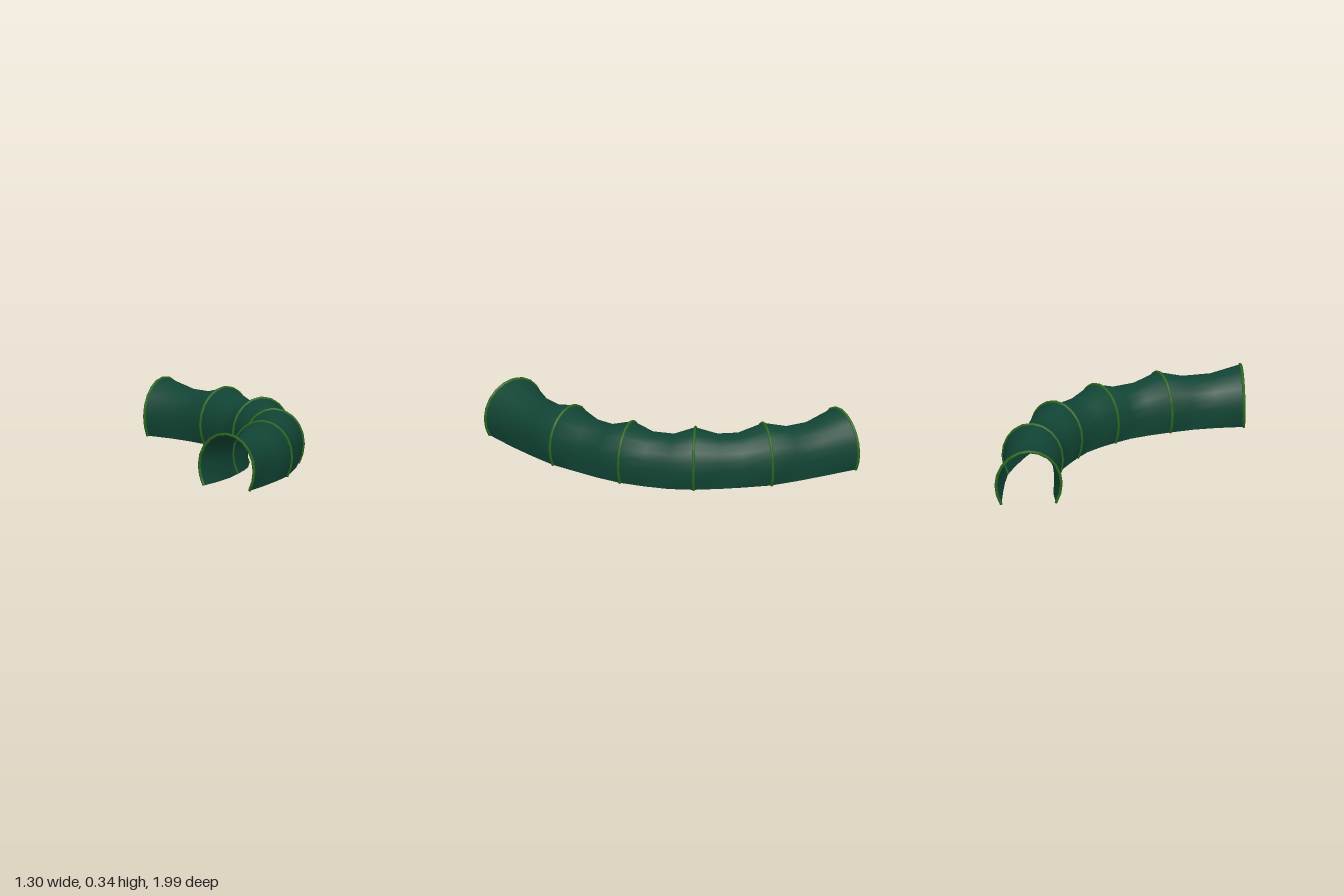
import * as THREE from 'three';

// Ground-plan stations from back to front: [rightX, rightZ, leftX, leftZ]; every third one carries a hoop
const STATIONS = [
  [-0.545, -0.99, -0.655, -0.595], [-0.36, -0.87, -0.48, -0.585], [-0.205, -0.80, -0.35, -0.53],
  [-0.04, -0.755, -0.25, -0.435], [0.075, -0.62, -0.105, -0.39], [0.18, -0.53, -0.02, -0.31],
  [0.325, -0.44, 0.035, -0.205], [0.39, -0.30, 0.135, -0.14], [0.46, -0.17, 0.195, -0.03],
  [0.555, -0.04, 0.205, 0.09], [0.56, 0.12, 0.275, 0.19], [0.585, 0.27, 0.29, 0.31],
  [0.645, 0.43, 0.26, 0.45], [0.605, 0.60, 0.295, 0.59], [0.59, 0.79, 0.275, 0.73],
  [0.60, 0.99, 0.20, 0.88],
];
const SEGMENTS = 14;
const AXIS_Y = 0.12;
const DIP = 0.6435; // angle the arch continues below its widest point
const TUBE = 0.009;

// Horseshoe arch standing on the ground at one station
function archPoints([ax, az, bx, bz], isHoop) {
  const mid = new THREE.Vector3((ax + bx) / 2, 0, (az + bz) / 2);
  const side = new THREE.Vector3(ax - bx, 0, az - bz);
  const halfWidth = side.length() / 2 - (isHoop ? TUBE : 0);
  side.normalize();
  const rise = isHoop ? 0.207 : 0.163;
  const tuck = isHoop ? 0.17 : 0.03; // how far the feet turn inward
  const points = [];
  for (let i = 0; i <= SEGMENTS; i++) {
    const a = -DIP + (i / SEGMENTS) * (Math.PI + 2 * DIP);
    const s = Math.sin(a);
    let x = Math.cos(a), y = AXIS_Y + rise * s;
    if (s < 0) {
      const depth = -s / 0.6;
      x = Math.sign(x) * (1 - tuck * depth * depth);
      y = Math.max(0, AXIS_Y * (1 - depth));
    }
    points.push(mid.clone().addScaledVector(side, x * halfWidth).setY(y));
  }
  return points;
}

// Skin stretched over all arches
function skinGeometry(arches) {
  const positions = arches.flat().flatMap((p) => p.toArray());
  const index = [];
  const n = SEGMENTS + 1;
  for (let j = 0; j < arches.length - 1; j++) {
    for (let i = 0; i < SEGMENTS; i++) {
      const a = j * n + i;
      index.push(a, a + 1, a + n, a + 1, a + n + 1, a + n);
    }
  }
  const geometry = new THREE.BufferGeometry();
  geometry.setAttribute('position', new THREE.Float32BufferAttribute(positions, 3));
  geometry.setIndex(index);
  geometry.computeVertexNormals();
  return geometry;
}

export function createModel() {
  const skinGreen = new THREE.MeshStandardMaterial({ color: 0x114434, side: THREE.DoubleSide });
  skinGreen.name = 'dark green skin';
  const hoopGreen = new THREE.MeshStandardMaterial({ color: 0x2a661f, side: THREE.DoubleSide });
  hoopGreen.name = 'leaf green hoop';

  const model = new THREE.Group();
  model.name = 'archedTunnel';

  const arches = STATIONS.map((station, j) => archPoints(station, j % 3 === 0));
  const skin = new THREE.Mesh(skinGeometry(arches), skinGreen);
  skin.name = 'tunnelSkin';
  model.add(skin);

  // Hoops at the ends and at every seam
  arches.forEach((points, j) => {
    if (j % 3 !== 0) return;
    const path = new THREE.CurvePath();
    for (let i = 0; i < SEGMENTS; i++) path.add(new THREE.LineCurve3(points[i], points[i + 1]));
    const hoop = new THREE.Mesh(new THREE.TubeGeometry(path, SEGMENTS * 2, TUBE, 6), hoopGreen);
    hoop.name = 'hoop' + (j / 3 + 1);
    model.add(hoop);
  });

  return model;
}
